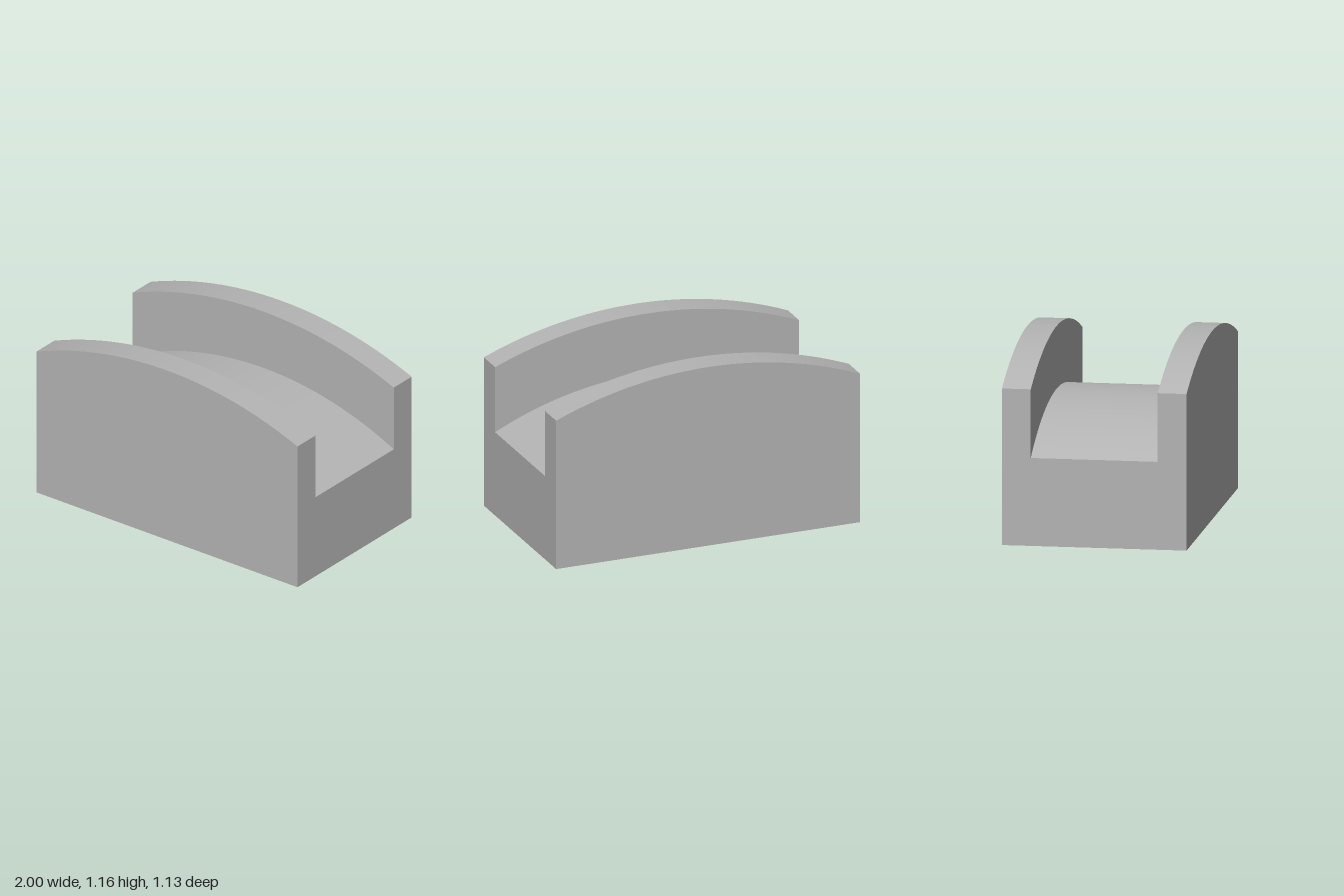
import * as THREE from 'three';
import { toCreasedNormals } from 'three/addons/utils/BufferGeometryUtils.js';

const HALF_LENGTH = 1, HALF_WIDTH = 0.567, HALF_GROOVE = 0.39;
const RAIL_RADIUS = 2.637, GROOVE_RADIUS = 2.25, ARC_CENTRE = -1.472;
const HOLE_RADIUS = 0.25, HOLE_DEPTH = 0.4;

const arcHeight = (radius, x) => ARC_CENTRE + Math.sqrt(radius * radius - x * x);

// U-shaped section swept along x, its tops raised onto two concentric arcs
function bodyGeometry() {
  const rail = arcHeight(RAIL_RADIUS, HALF_LENGTH);
  const floor = arcHeight(GROOVE_RADIUS, HALF_LENGTH);
  const section = new THREE.Shape([
    [-HALF_WIDTH, 0], [HALF_WIDTH, 0], [HALF_WIDTH, rail], [HALF_GROOVE, rail],
    [HALF_GROOVE, floor], [-HALF_GROOVE, floor], [-HALF_GROOVE, rail], [-HALF_WIDTH, rail],
  ].map(([z, y]) => new THREE.Vector2(z, y)));
  const swept = new THREE.ExtrudeGeometry(section, { depth: 2 * HALF_LENGTH, steps: 64, bevelEnabled: false });
  swept.rotateY(Math.PI / 2).translate(-HALF_LENGTH, 0, 0);

  // Drop the underside, which is made separately with its hole
  const p = swept.getAttribute('position');
  const kept = [];
  for (let i = 0; i < p.count; i += 3) {
    if (Math.max(p.getY(i), p.getY(i + 1), p.getY(i + 2)) < 0.001) continue;
    for (let k = i; k < i + 3; k++) {
      const x = THREE.MathUtils.clamp(p.getX(k), -HALF_LENGTH, HALF_LENGTH);
      let y = p.getY(k);
      if (y > 0.8) y = arcHeight(RAIL_RADIUS, x);
      else if (y > 0.3) y = arcHeight(GROOVE_RADIUS, x);
      kept.push(x, y, p.getZ(k));
    }
  }
  const geometry = new THREE.BufferGeometry();
  geometry.setAttribute('position', new THREE.Float32BufferAttribute(kept, 3));
  return toCreasedNormals(geometry, 0.5);
}

// Rectangular underside with a round opening
function undersideGeometry() {
  const plan = new THREE.Shape([
    [-HALF_LENGTH, -HALF_WIDTH], [HALF_LENGTH, -HALF_WIDTH],
    [HALF_LENGTH, HALF_WIDTH], [-HALF_LENGTH, HALF_WIDTH],
  ].map(([x, z]) => new THREE.Vector2(x, z)));
  plan.holes.push(new THREE.Path().absarc(0, 0, HOLE_RADIUS, 0, Math.PI * 2, true));
  return new THREE.ShapeGeometry(plan, 32).rotateX(Math.PI / 2);
}

export function createModel() {
  const group = new THREE.Group();
  group.name = 'groovedBlock';
  const grey = new THREE.MeshStandardMaterial({ color: 0xb3b3b3 });
  grey.name = 'plain grey';

  const add = (name, geometry) => {
    const mesh = new THREE.Mesh(geometry, grey);
    mesh.name = name;
    group.add(mesh);
  };

  add('body', bodyGeometry());
  add('underside', undersideGeometry());

  // Blind hole: the wall is mirrored inside out so it faces the axis
  const wall = new THREE.CylinderGeometry(HOLE_RADIUS, HOLE_RADIUS, HOLE_DEPTH, 64, 1, true);
  wall.translate(0, HOLE_DEPTH / 2, 0);
  const order = wall.index.array;
  for (let i = 0; i < order.length; i += 3) [order[i], order[i + 1]] = [order[i + 1], order[i]];
  wall.computeVertexNormals();
  add('holeWall', wall);
  add('holeEnd', new THREE.CircleGeometry(HOLE_RADIUS, 64).rotateX(Math.PI / 2).translate(0, HOLE_DEPTH, 0));

  return group;
}
